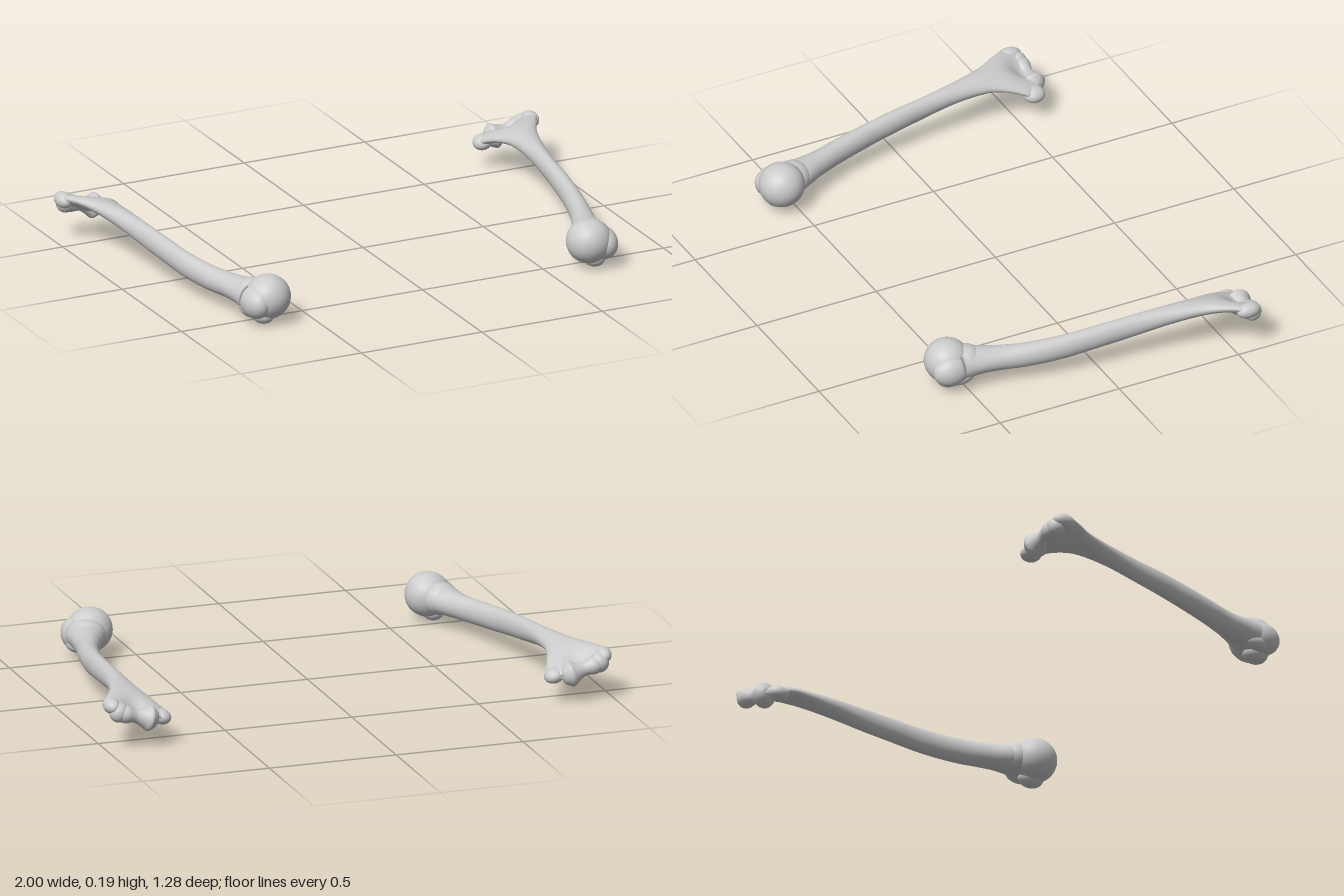
import * as THREE from 'three';

const material = new THREE.MeshStandardMaterial({ color: 0xcccccc, side: THREE.DoubleSide });

// Shaft sections: z, centre x, centre y, half width, half thickness, tilt
const SECTIONS = [
  [0.53, 0.70, 0.10, 0.070, 0.062, 0],
  [0.45, 0.709, 0.103, 0.066, 0.052, 0],
  [0.37, 0.735, 0.103, 0.050, 0.047, 0],
  [0.27, 0.768, 0.106, 0.042, 0.047, 0],
  [0.13, 0.80, 0.117, 0.036, 0.047, 0],
  [0.0, 0.818, 0.132, 0.034, 0.045, 0.03],
  [-0.11, 0.830, 0.143, 0.032, 0.043, 0.08],
  [-0.27, 0.847, 0.160, 0.041, 0.036, 0.16],
  [-0.40, 0.860, 0.167, 0.061, 0.030, 0.22],
  [-0.48, 0.866, 0.163, 0.094, 0.027, 0.26],
  [-0.55, 0.870, 0.147, 0.124, 0.028, 0.28],
  [-0.59, 0.870, 0.138, 0.118, 0.023, 0.28],
  [-0.605, 0.870, 0.134, 0.095, 0.012, 0.28],
];

function add(group, name, geometry) {
  const mesh = new THREE.Mesh(geometry, material);
  mesh.name = name;
  group.add(mesh);
  return mesh;
}

// Lofted shaft, flaring into a tilted plate with a hollow on its upper side
function shaftGeometry(rings = 72, sides = 40) {
  const centre = new THREE.CatmullRomCurve3(SECTIONS.map(([z, x, y]) => new THREE.Vector3(x, y, z)));
  const size = new THREE.CatmullRomCurve3(SECTIONS.map((s) => new THREE.Vector3(s[3], s[4], s[5])));
  const positions = [], index = [];
  for (let i = 0; i <= rings; i++) {
    const c = centre.getPoint(i / rings), s = size.getPoint(i / rings);
    for (let j = 0; j < sides; j++) {
      const a = (j / sides) * Math.PI * 2;
      const u = Math.cos(a) * s.x, v = Math.sin(a) * s.y;
      const x = c.x + u * Math.cos(s.z) - v * Math.sin(s.z);
      let y = c.y + u * Math.sin(s.z) + v * Math.cos(s.z);
      const hollow = Math.exp(-(((x - 0.875) / 0.045) ** 2) - ((c.z + 0.56) / 0.045) ** 2);
      y -= hollow * Math.sin(a) * (v > 0 ? 0.030 : -0.008);
      positions.push(x, y, c.z);
      if (i < rings) {
        const p = i * sides + j, q = i * sides + (j + 1) % sides;
        index.push(p, q, p + sides, q, q + sides, p + sides);
      }
    }
  }
  // End caps
  [0, rings].forEach((ring, end) => {
    const c = centre.getPoint(end), hub = positions.length / 3;
    positions.push(c.x, c.y - end * 0.008, c.z);
    for (let j = 0; j < sides; j++) {
      const p = ring * sides + j, q = ring * sides + (j + 1) % sides;
      index.push(...(end ? [hub, q, p] : [hub, p, q]));
    }
  });
  // Ring order runs towards -z, so flip every face outwards
  for (let k = 0; k < index.length; k += 3) [index[k + 1], index[k + 2]] = [index[k + 2], index[k + 1]];
  const geometry = new THREE.BufferGeometry();
  geometry.setAttribute('position', new THREE.Float32BufferAttribute(positions, 3));
  geometry.setIndex(index);
  geometry.computeVertexNormals();
  return geometry;
}

function createBone(name) {
  const bone = new THREE.Group();
  bone.name = name;
  add(bone, 'shaft', shaftGeometry());

  // Rounded masses: name, centre, radii, tilt
  const lobes = [
    ['ballHead', [0.667, 0.108, 0.55], [0.087, 0.085, 0.087], 0],
    ['greaterTubercle', [0.720, 0.095, 0.555], [0.054, 0.062, 0.076], 0],
    ['lesserTubercle', [0.688, 0.043, 0.55], [0.042, 0.037, 0.052], 0.2],
    ['tubercleRidge', [0.735, 0.067, 0.53], [0.030, 0.032, 0.060], 0],
    ['neck', [0.697, 0.105, 0.49], [0.069, 0.062, 0.070], 0],
    ['innerEpicondyle', [0.774, 0.108, -0.565], [0.037, 0.029, 0.042], 0.28],
    ['outerEpicondyle', [0.968, 0.168, -0.56], [0.032, 0.030, 0.048], 0.28],
    ['capitulum', [0.947, 0.146, -0.583], [0.037, 0.038, 0.036], 0.28],
  ];
  for (const [part, position, radii, tilt] of lobes) {
    const mesh = add(bone, part, new THREE.SphereGeometry(1, 32, 24));
    mesh.position.set(...position);
    mesh.scale.set(...radii);
    mesh.rotation.z = tilt;
  }

  // Spool-shaped joint surface with one tall flange
  const profile = new THREE.SplineCurve([
    [0, -0.050], [0.026, -0.045], [0.043, -0.026], [0.049, -0.012], [0.038, 0.008],
    [0.027, 0.035], [0.028, 0.055], [0.034, 0.080], [0.026, 0.105], [0, 0.116],
  ].map(([r, h]) => new THREE.Vector2(r, h)));
  const points = profile.getPoints(36).map((p) => p.setX(Math.max(p.x, 0)));
  const trochlea = add(bone, 'trochlea', new THREE.LatheGeometry(points, 32));
  trochlea.position.set(0.845, 0.118, -0.589);
  trochlea.rotation.z = -Math.PI / 2 + 0.26;
  return bone;
}

export function createModel() {
  const model = new THREE.Group();
  model.name = 'armBonePair';
  const left = createBone('leftBone');
  const right = createBone('rightBone');
  right.scale.x = -1;
  model.add(left, right);
  return model;
}
